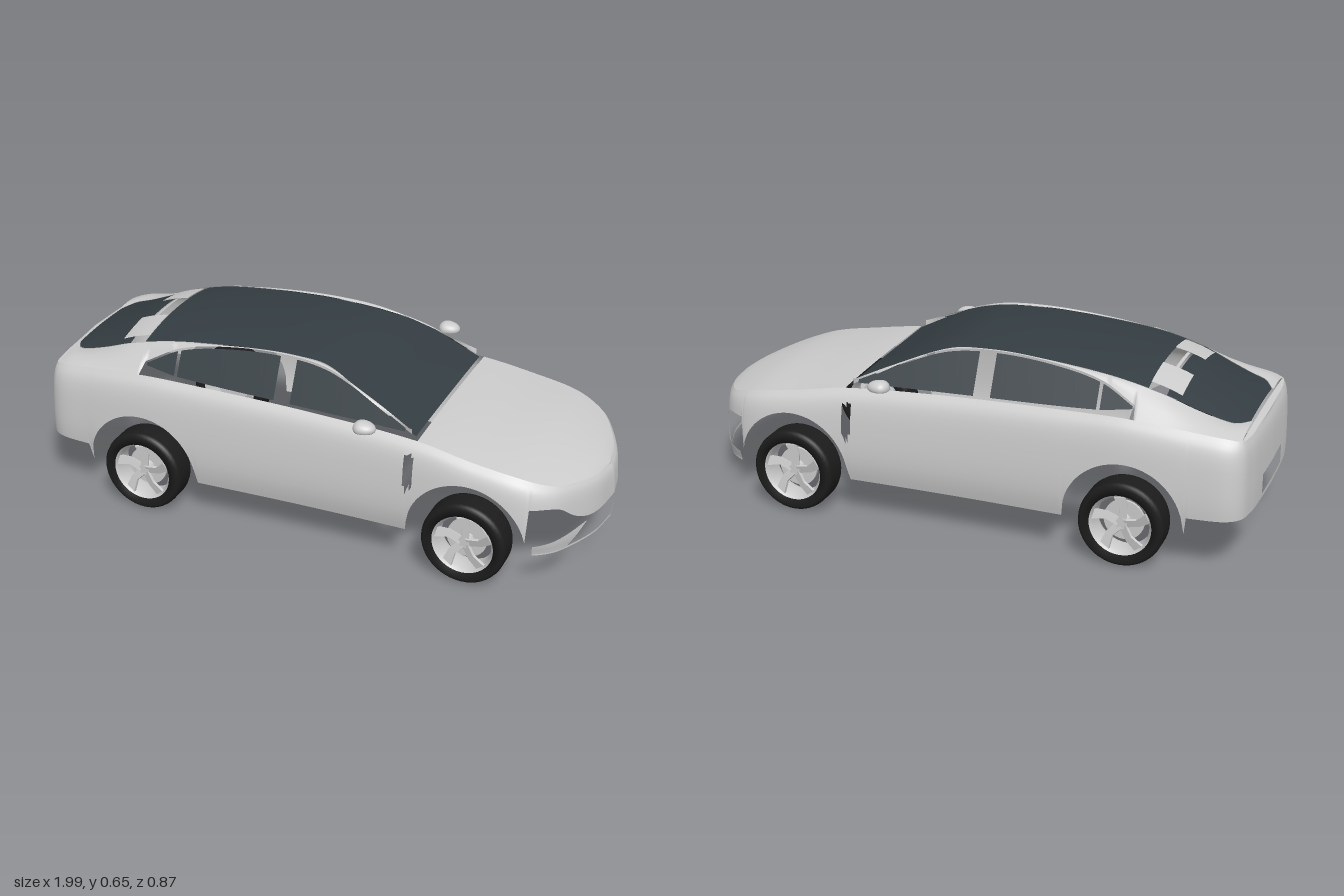
import * as THREE from 'three';

const mat = (color, extra = {}) => new THREE.MeshStandardMaterial({ color, side: THREE.DoubleSide, ...extra });
const paint = mat(0xcccccc);
const metal = mat(0xcccccc, { flatShading: true });
const glass = mat(0x343d42);
const rubber = mat(0x1c1c1c);
const V = (x, y, z) => new THREE.Vector3(x, y, z);

// Smooth interpolation through [x, value] pairs
function at(table, x) {
  const n = table.length - 1;
  if (x <= table[0][0]) return table[0][1];
  if (x >= table[n][0]) return table[n][1];
  let i = 0;
  while (x > table[i + 1][0]) i++;
  const slope = k => {
    const a = table[Math.max(k - 1, 0)], b = table[Math.min(k + 1, n)];
    return (b[1] - a[1]) / (b[0] - a[0]);
  };
  const [x0, y0] = table[i], [x1, y1] = table[i + 1], h = x1 - x0, t = (x - x0) / h;
  const t2 = t * t, t3 = t2 * t;
  return y0 * (2 * t3 - 3 * t2 + 1) + y1 * (3 * t2 - 2 * t3)
    + h * (slope(i) * (t3 - 2 * t2 + t) + slope(i + 1) * (t3 - t2));
}

// Surface through rows of points; skip(a, c) drops a cell by its opposite corners
function sheet(name, rows, material, skip = () => false) {
  const m = rows[0].length, index = [];
  for (let i = 0; i < rows.length - 1; i++) for (let j = 0; j < m - 1; j++) {
    if (skip(rows[i][j], rows[i + 1][j + 1])) continue;
    const a = i * m + j, b = a + m;
    index.push(a, b, a + 1, b, b + 1, a + 1);
  }
  const geo = new THREE.BufferGeometry().setFromPoints(rows.flat());
  geo.setIndex(index);
  geo.computeVertexNormals();
  const mesh = new THREE.Mesh(geo, material);
  mesh.name = name;
  return mesh;
}

const mirrorRows = rows => rows.map(r => r.map(p => V(p.x, p.y, -p.z))).reverse();
const pair = (group, name, rows, material, skip) => group.add(
  sheet('left' + name, rows, material, skip), sheet('right' + name, mirrorRows(rows), material, skip));
const range = (a, b, n) => Array.from({ length: n + 1 }, (_, i) => a + (b - a) * i / n);

// Body curves along the length
const plan = [[-1, 0], [-.997, .14], [-.99, .25], [-.972, .325], [-.93, .36], [-.8, .378], [-.6, .387], [-.385, .383],
  [0, .375], [.385, .378], [.6, .387], [.75, .378], [.82, .355], [.88, .31], [.935, .22], [.975, .12], [.995, 0]];
const shoulder = [[-1, .46], [-.9, .475], [-.6, .502], [-.45, .502], [0, .488], [.4, .465], [.6, .432],
  [.757, .405], [.88, .372], [.95, .353], [.995, .335]];
const ridge = [[-.95, .483], [-.8, .55], [-.67, .6], [-.47, .63], [-.18, .648], [-.05, .645], [.06, .632], [.2, .58], [.3, .527], [.41, .468]];
const roofHalf = [[-.95, .15], [-.92, .2], [-.88, .215], [-.65, .242], [-.4, .24], [0, .228], [.08, .24], [.2, .285], [.3, .3], [.41, .312]];
const crown = [[-.95, .006], [-.85, .026], [-.7, .032], [-.5, .02], [-.1, .012], [.41, .003]];
const windowTop = [[-.6, .53], [-.48, .588], [-.31, .62], [-.11, .632], [.06, .617], [.22, .56], [.38, .49]];
const windowBase = [[-.6, .525], [-.47, .508], [0, .495], [.38, .486]];
const tuck = [[0, .016], [.15, .004], [.35, 0], [.6, .005], [.8, .014], [.92, .028], [1, .05]];
const nose = [[.8, .31], [.89, .3], [.93, .25], [.962, .225], [1, .225]];
const axles = [-.59, .597];

function lowerEdge(x) {
  let y = x < -.8 ? .205 : x < .8 ? .14 : at(nose, x);
  for (const c of axles) {
    const d = .205 ** 2 - (x - c) ** 2;
    if (d > 0) y = Math.max(y, .155 + Math.sqrt(d));
  }
  return y;
}

// Half outline seen from above, with outward direction
const half = new THREE.CatmullRomCurve3(plan.map(([x, z]) => V(x, 0, z)), false, 'centripetal').getSpacedPoints(300);
const outward = half.map((p, i) => {
  const a = half[i - 1] || V(p.x, 0, -half[1].z), b = half[i + 1] || V(p.x, 0, -half[i - 1].z);
  return V(a.z - b.z, 0, b.x - a.x).normalize();
});
const heights = [0, .06, .15, .24, .33, .43, .53, .63, .72, .8, .86, .91, .95, .98, 1];

// Upright wall that follows the outline between two edge functions
const wall = (low, high, levels) => half.map((p, i) => levels.map(t => {
  const y0 = low(p), y = y0 + t * (high(p) - y0);
  const inset = at(tuck, (y - .14) / (at(shoulder, p.x) - .14));
  return V(p.x - outward[i].x * inset * .4, y, p.z - outward[i].z * inset);
}));

// Crowned panel spanning left to right between edge points
const span = (edges, bulge) => edges.map(p => range(1, -1, 16).map(k => V(p.x, p.y + bulge(p.x) * (1 - k * k), p.z * k)));
const roofEdge = x => V(x, at(ridge, x) - at(crown, x), at(roofHalf, x));
const sideGlass = (x, y) => V(x, y, .32 - .5 * (y - .49));

function makeWheel() {
  const wheel = new THREE.Group();
  const add = (name, geo, material) => {
    const mesh = new THREE.Mesh(geo, material);
    mesh.name = name;
    wheel.add(mesh);
    return mesh;
  };
  const lathe = pts => new THREE.LatheGeometry(pts.map(([r, y]) => new THREE.Vector2(r, y)), 48).rotateX(Math.PI / 2);
  add('tyre', lathe([[.107, -.048], [.134, -.0525], [.144, -.044], [.147, -.032], [.147, .032], [.144, .044],
    [.134, .0525], [.107, .048], [.107, -.048]]), rubber);
  add('rimBarrel', lathe([[.105, -.046], [.094, -.02], [.095, .03], [.108, .047]]), paint);
  add('brakeDisc', new THREE.CylinderGeometry(.07, .07, .01, 32).rotateX(Math.PI / 2), metal).position.z = -.005;
  add('hub', new THREE.CylinderGeometry(.02, .026, .04, 20).rotateX(Math.PI / 2), metal).position.z = .012;
  // Five swept, tilted spokes
  const blade = new THREE.Shape([[.012, -.014], [.06, -.018], [.1, -.008], [.097, .028], [.055, .008], [.012, .014]]
    .map(([x, y]) => new THREE.Vector2(x, y)));
  const spoke = new THREE.ExtrudeGeometry(blade, { depth: .01, bevelEnabled: false }).rotateX(.25).rotateY(-.08);
  for (let i = 0; i < 5; i++) {
    const mesh = add('spoke', spoke, metal);
    mesh.position.z = .02;
    mesh.rotation.z = i * Math.PI * 2 / 5 + .3;
  }
  return wheel;
}

export function createModel() {
  const car = new THREE.Group();
  car.name = 'car';

  // Lower body, open at the number plate and at the slit behind the front wheels
  const skirt = wall(p => lowerEdge(p.x), p => at(shoulder, p.x), heights);
  const tops = skirt.map(r => r[r.length - 1]);
  pair(car, 'BodySide', skirt, paint, (a, c) => {
    const x = (a.x + c.x) / 2, y = (a.y + c.y) / 2, z = Math.abs(a.z + c.z) / 2;
    return (x < -.95 && z < .14 && y > .22 && y < .293) || (x > .378 && x < .408 && y > .3 && y < .42);
  });

  // Front bumper: corner flaps and a thin lip
  const corner = p => p.x > .815;
  const keepFront = rows => rows.filter((r, i) => corner(half[i]));
  const flapLow = p => p.z > .26 ? .138 : .138 + (.26 - p.z) / .083 * .075;
  const flapHigh = p => .213 - (p.z - .177) / .19 * .043;
  const flap = wall(flapLow, flapHigh, range(0, 1, 4)).filter((r, i) => corner(half[i]) && half[i].z > .177);
  pair(car, 'BumperFlap', flap, paint);
  pair(car, 'BumperLip', keepFront(wall(() => .134, () => .141, [0, 1])), paint);

  // Bonnet and tail deck
  const bonnetBulge = [[.41, .006], [.6, .018], [.85, .022], [.94, .012], [.985, 0]];
  car.add(sheet('bonnet', span(tops.filter(p => p.x >= .405), x => at(bonnetBulge, x)), paint));
  car.add(sheet('tailDeck', span(tops.filter(p => p.x <= -.955), () => .008), paint));

  // Roof with windscreen, and rear window
  const canopy = (a, b, n) => span(range(a, b, n).map(roofEdge), x => at(crown, x));
  car.add(sheet('roofAndWindscreen', canopy(-.63, .4, 48), glass));
  car.add(sheet('rearWindow', canopy(-.95, -.69, 20), glass));

  // Roof rails that widen into the rear quarters
  const rails = tops.filter(p => p.x > -.957 && p.x < .39).map(p => {
    const low = p.x < -.605 ? p : sideGlass(p.x, at(windowTop, p.x) + .007);
    const high = roofEdge(p.x);
    high.z += .004;
    return range(0, 1, 5).map(t => low.clone().lerp(high, t).add(V(0, .008 * Math.sin(t * Math.PI) * (p.x < -.5 ? 1 : .3), 0)));
  });
  pair(car, 'RoofRail', rails, paint);

  // Side windows with a gap at the middle pillar
  for (const [name, a, b] of [['QuarterWindow', -.595, -.487], ['RearDoorWindow', -.475, -.11], ['FrontDoorWindow', -.05, .365]]) {
    pair(car, name, range(a, b, 20).map(x => [sideGlass(x, at(windowBase, x)), sideGlass(x, at(windowTop, x))]), glass);
  }

  // Brackets and bar between roof and rear window
  const patch = (x0, x1, z0, z1, lift) => range(x0, x1, 4).map(x => range(z1, z0, 4).map(z => {
    const k = z / at(roofHalf, x);
    return V(x, at(ridge, x) - at(crown, x) * k * k + lift, z);
  }));
  pair(car, 'RoofBracket', patch(-.735, -.63, .075, .21, .004), paint);
  car.add(sheet('roofBar', patch(-.682, -.672, -.08, .08, 0), paint));

  // Door mirrors: rounded pods, flattened below
  const pod = new THREE.SphereGeometry(1, 24, 16);
  const pos = pod.attributes.position;
  for (let i = 0; i < pos.count; i++) {
    pos.setY(i, Math.max(pos.getY(i), -.35));
    pos.setX(i, pos.getX(i) * (pos.getX(i) < 0 ? .6 : 1));
  }
  pod.scale(.048, .025, .034).computeVertexNormals();

  for (const side of [1, -1]) {
    const label = side > 0 ? 'left' : 'right';
    const mirror = new THREE.Mesh(pod, paint);
    mirror.name = label + 'Mirror';
    mirror.position.set(.245, .514, side * .4);
    car.add(mirror);
    axles.forEach((x, i) => {
      const wheel = makeWheel();
      wheel.name = label + (i ? 'FrontWheel' : 'RearWheel');
      wheel.position.set(x, .147, side * .342);
      if (side < 0) wheel.rotation.y = Math.PI;
      car.add(wheel);
    });
  }
  return car;
}
